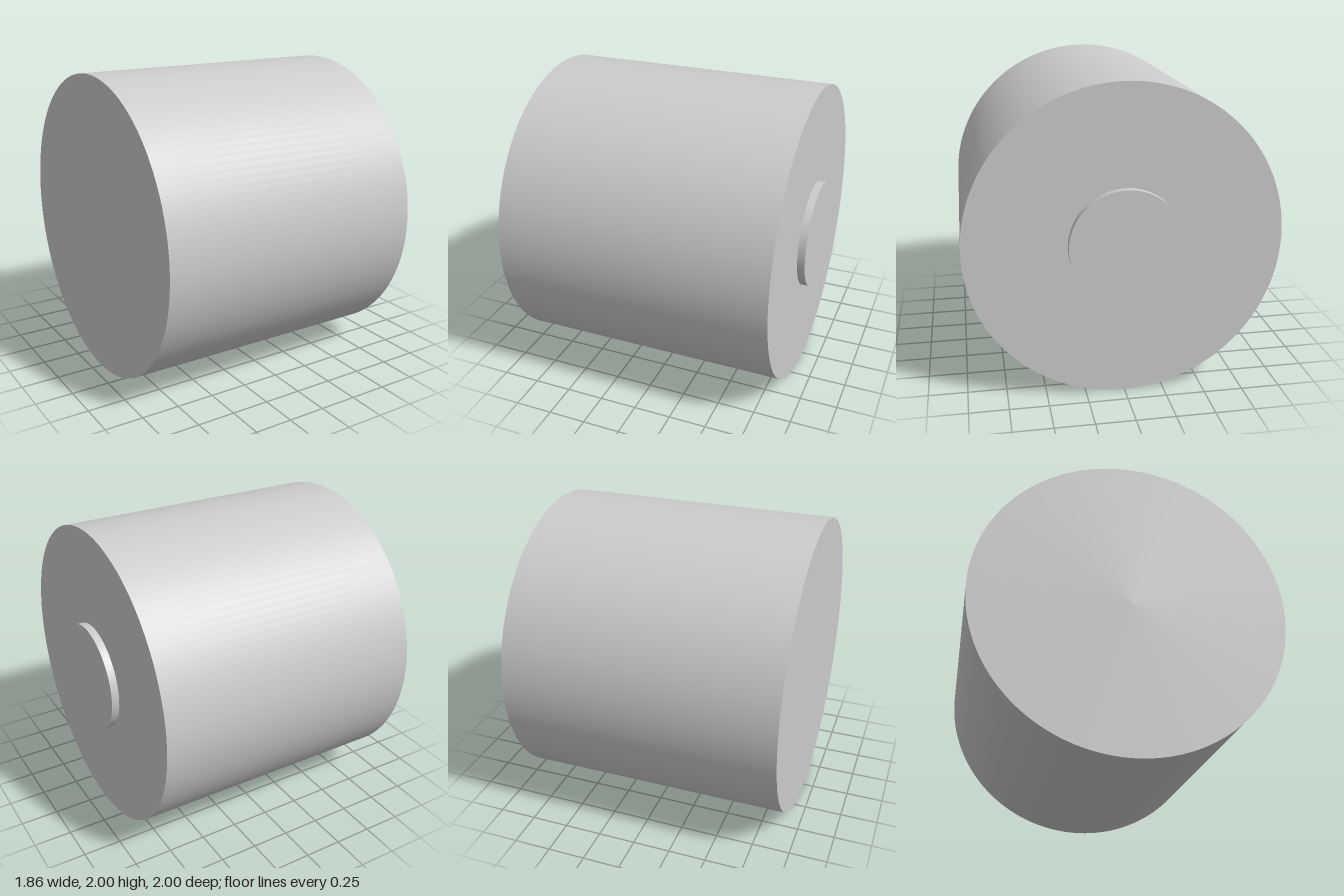
import * as THREE from 'three';

const material = new THREE.MeshStandardMaterial({ color: 0xcccccc });

// Solid disc lying along the x axis, between x0 and x1
function disc(name, radius, x0, x1) {
  const geometry = new THREE.CylinderGeometry(radius, radius, x1 - x0, 128);
  geometry.rotateZ(-Math.PI / 2);
  const mesh = new THREE.Mesh(geometry, material);
  mesh.name = name;
  mesh.position.set((x0 + x1) / 2, 1, 0);
  return mesh;
}

export function createModel() {
  const group = new THREE.Group();
  group.name = 'drum';
  // Main drum, and the low round boss on its +x end
  group.add(disc('body', 1, -0.93, 0.88));
  group.add(disc('boss', 0.357, 0.88, 0.93));
  return group;
}
